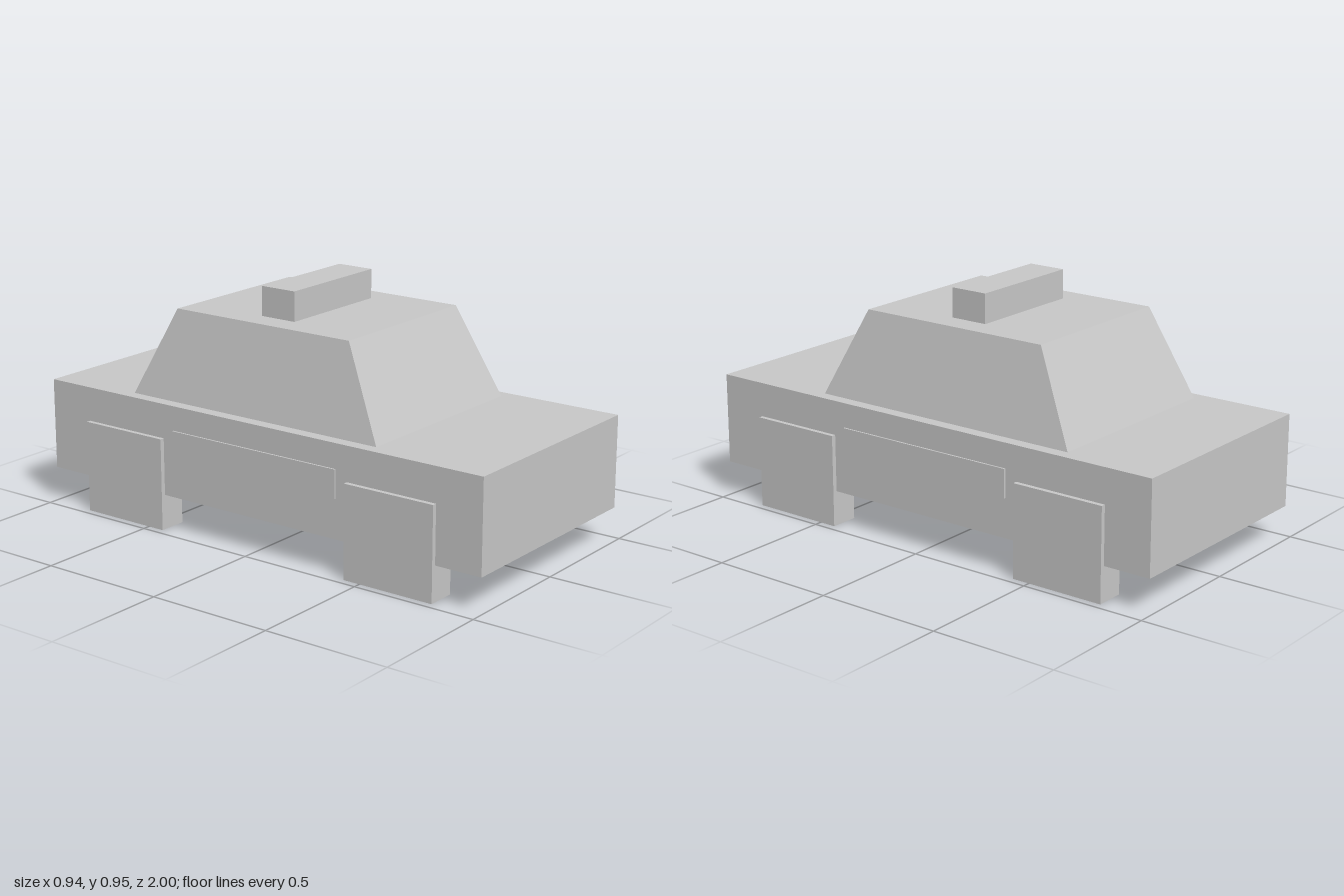
import * as THREE from 'three';

const bodyGrey = new THREE.MeshStandardMaterial({ color: 0xc8c8c8 });
bodyGrey.name = 'bodyGrey';
bodyGrey.side = THREE.DoubleSide;

// Box shell without a floor, given by its extents
function shell(name, [x0, x1], [y0, y1], [z0, z1]) {
  const g = new THREE.BoxGeometry(x1 - x0, y1 - y0, z1 - z0);
  g.translate((x0 + x1) / 2, (y0 + y1) / 2, (z0 + z1) / 2);
  // drop the downward face (indices 18 to 23)
  const index = Array.from(g.index.array);
  index.splice(18, 6);
  g.setIndex(index);
  g.clearGroups();
  const mesh = new THREE.Mesh(g, bodyGrey);
  mesh.name = name;
  return mesh;
}

export function createModel() {
  const car = new THREE.Group();
  car.name = 'car';

  // Hollow lower body
  car.add(shell('body', [-0.453, 0.453], [0.137, 0.497], [-1, 1]));

  // Tapered cabin: pull the top corners inward
  const cabin = shell('cabin', [-0.405, 0.405], [0.497, 0.84], [-0.616, 0.522]);
  const p = cabin.geometry.attributes.position;
  for (let i = 0; i < p.count; i++) {
    if (p.getY(i) < 0.7) continue;
    p.setX(i, Math.sign(p.getX(i)) * 0.338);
    p.setZ(i, p.getZ(i) > 0 ? 0.352 : -0.448);
  }
  cabin.geometry = cabin.geometry.toNonIndexed();
  cabin.geometry.computeVertexNormals();
  car.add(cabin);

  // Roof light bar
  car.add(shell('roofLight', [-0.238, 0.238], [0.84, 0.954], [-0.122, 0.03]));

  // Side trim, one shell running through the body
  car.add(shell('sideTrim', [-0.46, 0.46], [0.29, 0.401], [-0.381, 0.381]));

  // Square wheels
  for (const [side, x] of [['Left', [0.357, 0.471]], ['Right', [-0.471, -0.357]]]) {
    car.add(shell('frontWheel' + side, x, [0, 0.362], [0.43, 0.81]));
    car.add(shell('rearWheel' + side, x, [0, 0.362], [-0.81, -0.43]));
  }
  return car;
}
